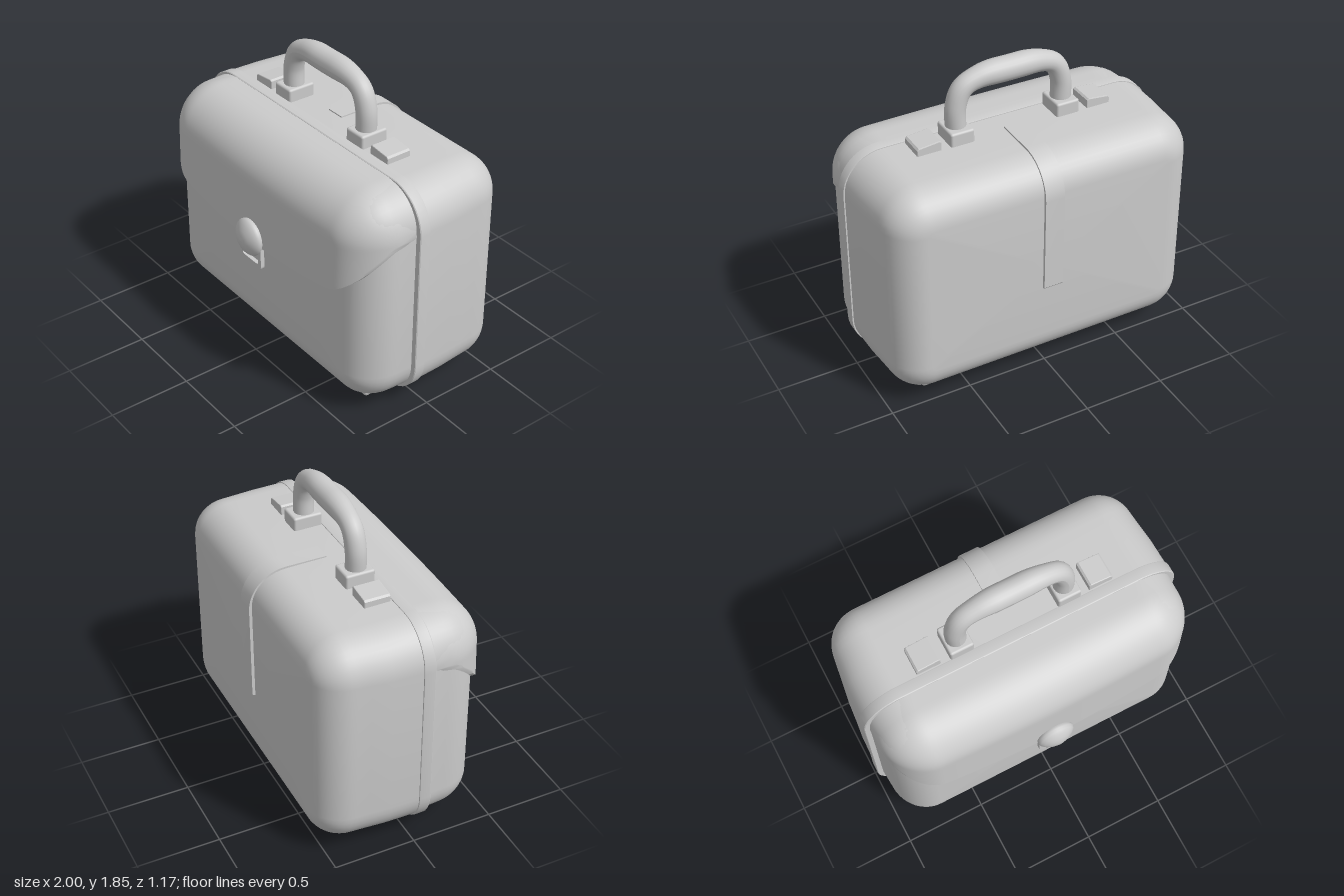
import * as THREE from 'three';
import { toCreasedNormals } from 'three/addons/utils/BufferGeometryUtils.js';
import { RoundedBoxGeometry } from 'three/addons/geometries/RoundedBoxGeometry.js';

const material = new THREE.MeshStandardMaterial({ color: 0xcccccc });
const HALF_W = 1, HALF_H = 0.69, MID_Y = 0.742, CORNER = 0.25;

function surface(positions, indices, crease = 0.6) {
  const g = new THREE.BufferGeometry();
  g.setAttribute('position', new THREE.Float32BufferAttribute(positions, 3));
  g.setIndex(indices);
  return toCreasedNormals(g, crease);
}

// Closed loft of rounded rectangles; rings are [z, inset x, inset y], z rising.
function loftCase(rings) {
  const steps = 10, n = 4 * (steps + 1), pos = [], idx = [];
  for (const [z, dx, dy] of rings) {
    const r = Math.max(0.03, CORNER - (dx + dy) / 2);
    for (let c = 0; c < 4; c++) {
      const sx = c === 0 || c === 3 ? 1 : -1, sy = c < 2 ? 1 : -1;
      for (let k = 0; k <= steps; k++) {
        const a = (c + k / steps) * Math.PI / 2;
        pos.push(sx * (HALF_W - dx - r) + r * Math.cos(a), MID_Y + sy * (HALF_H - dy - r) + r * Math.sin(a), z);
      }
    }
  }
  const last = rings.length - 1, c0 = rings.length * n;
  pos.push(0, MID_Y, rings[0][0], 0, MID_Y, rings[last][0]);
  for (let j = 0; j < n; j++) {
    const k = (j + 1) % n;
    for (let i = 0; i < last; i++) {
      const a = i * n + j, b = i * n + k;
      idx.push(a, b, a + n, b, b + n, a + n);
    }
    idx.push(c0, k, j, c0 + 1, last * n + j, last * n + k);
  }
  return surface(pos, idx);
}

// Quarter-round rings from a side wall to a flat face at zEnd.
function roundedEnd(zStart, zEnd, radius, dx, dy) {
  return Array.from({ length: 11 }, (_, i) => {
    const a = (i / 10) * Math.PI / 2, d = radius * (1 - Math.cos(a));
    return [zStart + (zEnd - zStart) * Math.sin(a), dx + d, dy + d];
  });
}

// Domed flap over the upper front, with a curved lower edge.
function flapGeometry() {
  const W = 0.968, TOP = 1.427, R = 0.262, Z0 = 0.2, cols = 96, rows = 28;
  const half = [[0.3, 0.808], [0.55, 0.832], [0.74, 0.87], [0.87, 0.97], [0.94, 1.08], [W, TOP - R]];
  const pts = [...half.map(([x, y]) => [-x, y]).reverse(), [0, 0.795], ...half];
  const edge = new THREE.CatmullRomCurve3(pts.map(([x, y]) => new THREE.Vector3(x, y, 0)));
  const dome = (x, y) => {
    const qx = Math.abs(x) - (W - R), qy = y - (TOP - R);
    const d = R - Math.hypot(Math.max(qx, 0), Math.max(qy, 0)) - Math.min(Math.max(qx, qy), 0);
    const t = 1 - Math.min(1, Math.max(0, d / R));
    const crown = 0.512 - 0.03 * x * x - 0.03 * Math.max(0, y - 0.8);
    return Z0 + (crown - Z0) * Math.sqrt(1 - t * t);
  };
  const pos = [], idx = [], stride = rows + 3;
  for (let i = 0; i <= cols; i++) {
    const p = edge.getPoint(i / cols);
    const x = THREE.MathUtils.clamp(p.x, -W, W);
    const over = Math.max(0, Math.abs(x) - (W - R));
    const top = TOP - R + Math.sqrt(Math.max(0, R * R - over * over));
    const low = Math.min(p.y, top);
    pos.push(x, low, dome(x, low) - 0.1);
    for (let j = 0; j <= rows; j++) {
      const y = low + (top - low) * Math.sin((j / rows) * Math.PI / 2);
      pos.push(x, y, dome(x, y));
    }
    pos.push(x, top, 0.1);
  }
  for (let i = 0; i < cols; i++) {
    for (let j = 0; j < stride - 1; j++) {
      const a = i * stride + j, b = a + stride;
      idx.push(a, b, a + 1, b, b + 1, a + 1);
    }
  }
  return surface(pos, idx, 0.9);
}

// Tube handle that swells into a grip across the top.
function handleGeometry() {
  const half = [[0.19, 1.77], [0.29, 1.727], [0.335, 1.62], [0.336, 1.47]];
  const pts = [...half.map(([x, y]) => [-x, y]).reverse(), [0, 1.777], ...half];
  const path = new THREE.CatmullRomCurve3(pts.map(([x, y]) => new THREE.Vector3(x, y, -0.053)));
  const segs = 72, sides = 20;
  const g = new THREE.TubeGeometry(path, segs, 0.061, sides);
  const p = g.attributes.position, v = new THREE.Vector3();
  for (let i = 0; i <= segs; i++) {
    const c = path.getPointAt(i / segs);
    const swell = 1 + 0.2 * (1 - THREE.MathUtils.smoothstep(Math.abs(c.x), 0.08, 0.27));
    for (let j = 0; j <= sides; j++) {
      const k = i * (sides + 1) + j;
      v.fromBufferAttribute(p, k).sub(c).multiplyScalar(swell).add(c);
      p.setXYZ(k, v.x, v.y, v.z);
    }
  }
  g.computeVertexNormals();
  return g;
}

export function createModel() {
  const model = new THREE.Group();
  const add = (name, geometry, x = 0, y = 0, z = 0) => {
    const mesh = new THREE.Mesh(geometry, material);
    mesh.name = name;
    mesh.position.set(x, y, z);
    model.add(mesh);
    return mesh;
  };

  // Case halves and the raised rim between them
  add('backShell', loftCase([
    ...roundedEnd(-0.35, -0.565, 0.2, 0.035, 0.012).reverse(),
    [-0.27, 0.028, 0.01], [-0.15, 0.015, 0.008], [0.04, 0.01, 0.006],
  ]));
  add('frontShell', loftCase([[0.09, 0.034, 0.01], ...roundedEnd(0.2, 0.44, 0.22, 0.042, 0.012)]));
  add('rim', loftCase([[0.03, 0.06, 0.06], [0.03, 0.002, 0.002], [0.035, 0, 0], [0.095, 0, 0], [0.1, 0.004, 0.004], [0.1, 0.06, 0.06]]));
  add('flap', flapGeometry());

  // Clasp: slotted plate and domed button
  const plate = new THREE.Shape();
  plate.moveTo(-0.105, 0.84).lineTo(-0.105, 0.675).quadraticCurveTo(-0.105, 0.645, -0.075, 0.645);
  plate.lineTo(0.075, 0.645).quadraticCurveTo(0.105, 0.645, 0.105, 0.675).lineTo(0.105, 0.84);
  const slot = new THREE.Path();
  slot.moveTo(-0.075, 0.76).lineTo(0.075, 0.76).lineTo(0.075, 0.69).quadraticCurveTo(0.075, 0.675, 0.06, 0.675);
  slot.lineTo(-0.06, 0.675).quadraticCurveTo(-0.075, 0.675, -0.075, 0.69);
  plate.holes.push(slot);
  add('claspPlate', new THREE.ExtrudeGeometry(plate, { depth: 0.025, bevelEnabled: false }), 0, 0, 0.495);
  const profile = [[0.1, -0.04], [0.114, 0], [0.116, 0.015], [0.108, 0.03], [0.09, 0.046], [0.06, 0.062], [0.03, 0.071], [0, 0.074]];
  const button = new THREE.LatheGeometry(profile.map(([x, y]) => new THREE.Vector2(x, y)), 40);
  add('claspButton', button, -0.002, 0.828, 0.511).rotation.x = Math.PI / 2;

  // Handle, its sockets and the wedge latches beside it
  add('handle', handleGeometry());
  const wedge = new THREE.Shape();
  wedge.moveTo(-0.07, -0.02).lineTo(0.07, -0.02).lineTo(0.07, 0.022).lineTo(0.062, 0.03).lineTo(-0.062, 0.043).lineTo(-0.07, 0.037);
  const latchGeometry = new THREE.ExtrudeGeometry(wedge, { depth: 0.15, bevelSize: 0.005, bevelThickness: 0.005, bevelSegments: 2 });
  for (const side of [-1, 1]) {
    const label = side > 0 ? 'left' : 'right';
    add(label + 'HandleSocket', new RoundedBoxGeometry(0.147, 0.1, 0.18, 3, 0.014), side * 0.337, 1.455, -0.057);
    const latch = add(label + 'Latch', latchGeometry, side * 0.541, 1.435, side > 0 ? -0.135 : 0.015);
    latch.rotation.y = side > 0 ? 0 : Math.PI;
  }

  // Strap over the top and down the back
  const outer = [[-0.1, 1.432], [-0.34, 1.432]], inner = [[-0.1, 1.39], [-0.34, 1.39]];
  for (let i = 1; i <= 12; i++) {
    const a = (i / 12) * Math.PI / 2;
    outer.push([-0.35 - 0.233 * Math.sin(a), 1.2 + 0.232 * Math.cos(a)]);
    inner.push([-0.35 - 0.19 * Math.sin(a), 1.2 + 0.19 * Math.cos(a)]);
  }
  outer.push([-0.583, 0.61], [-0.575, 0.6]);
  inner.push([-0.54, 0.6]);
  const strapShape = new THREE.Shape([...outer, ...inner.reverse()].map(([z, y]) => new THREE.Vector2(-z, y)));
  const strap = toCreasedNormals(new THREE.ExtrudeGeometry(strapShape, { depth: 0.12, bevelEnabled: false }), 0.6);
  add('backStrap', strap, -0.065).rotation.y = Math.PI / 2;

  // Feet
  for (const x of [-0.613, 0.668]) {
    for (const z of [0.177, -0.31]) {
      add('foot', new RoundedBoxGeometry(0.172, 0.09, 0.155, 3, 0.02), x, 0.045, z);
    }
  }
  return model;
}
